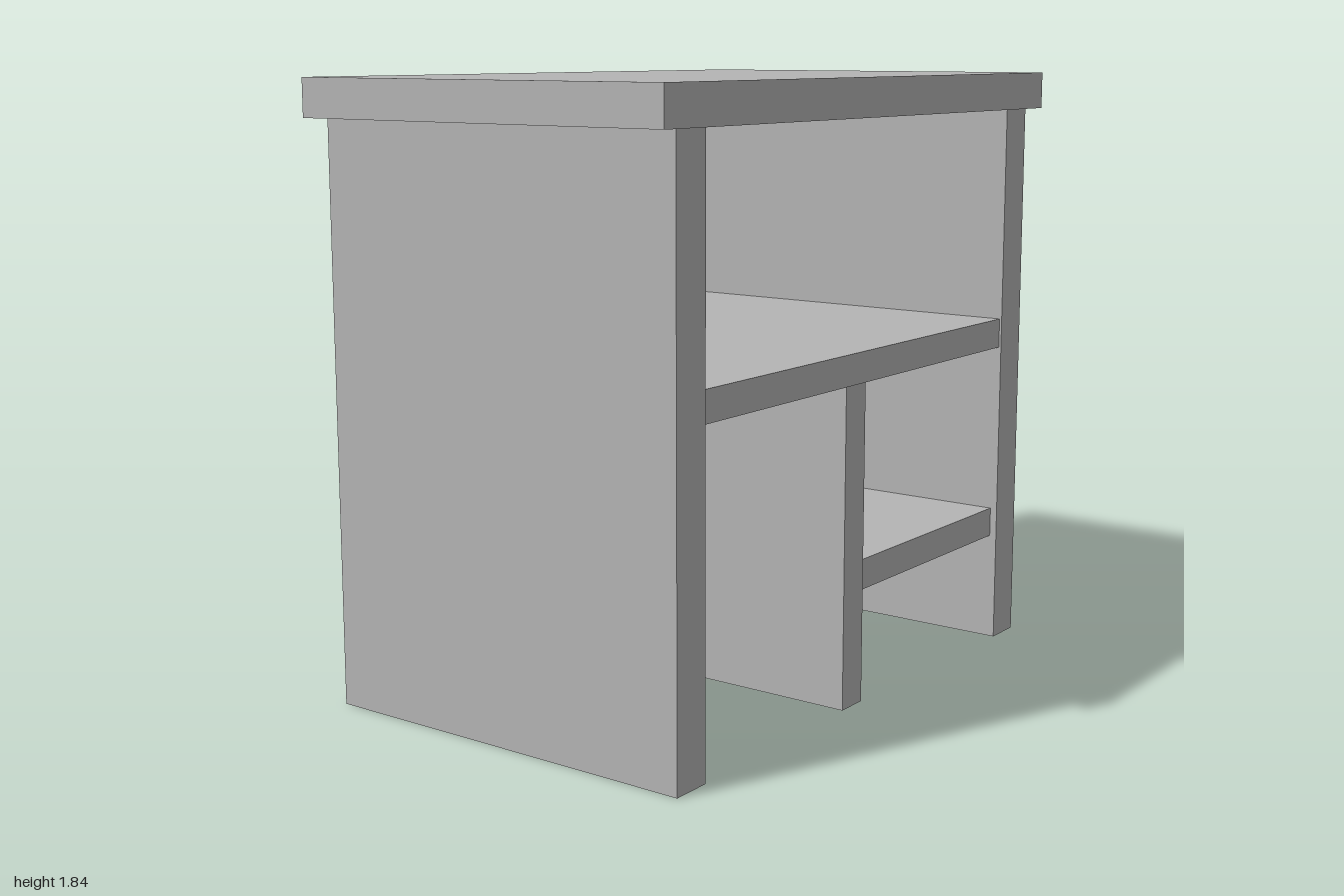
import * as THREE from 'three';

export function createModel() {
  const desk = new THREE.Group();
  desk.name = 'desk';
  const grey = new THREE.MeshStandardMaterial({ color: 0xb4b4b4 });
  grey.name = 'grey board';

  // Board centred on x, spanning y0..y1 and z0..z1
  function board(name, width, y0, y1, z0, z1) {
    const mesh = new THREE.Mesh(new THREE.BoxGeometry(width, y1 - y0, z1 - z0), grey);
    mesh.name = name;
    mesh.position.set(0, (y0 + y1) / 2, (z0 + z1) / 2);
    desk.add(mesh);
  }

  const inner = 0.803, outer = 0.927;

  // Overhanging top and the two end panels
  board('top', 1.27, 1.725, 1.838, -1, 1);
  board('frontPanel', 1.23, 0, 1.725, inner, outer);
  board('backPanel', 1.23, 0, 1.725, -outer, -inner);

  // Full-length shelf, divider beneath it, and the short lower shelf
  board('middleShelf', 1.215, 0.966, 1.058, -inner, inner);
  board('divider', 1.2, 0, 0.966, 0, 0.104);
  board('lowerShelf', 1.185, 0.34, 0.432, -inner, 0);

  return desk;
}
